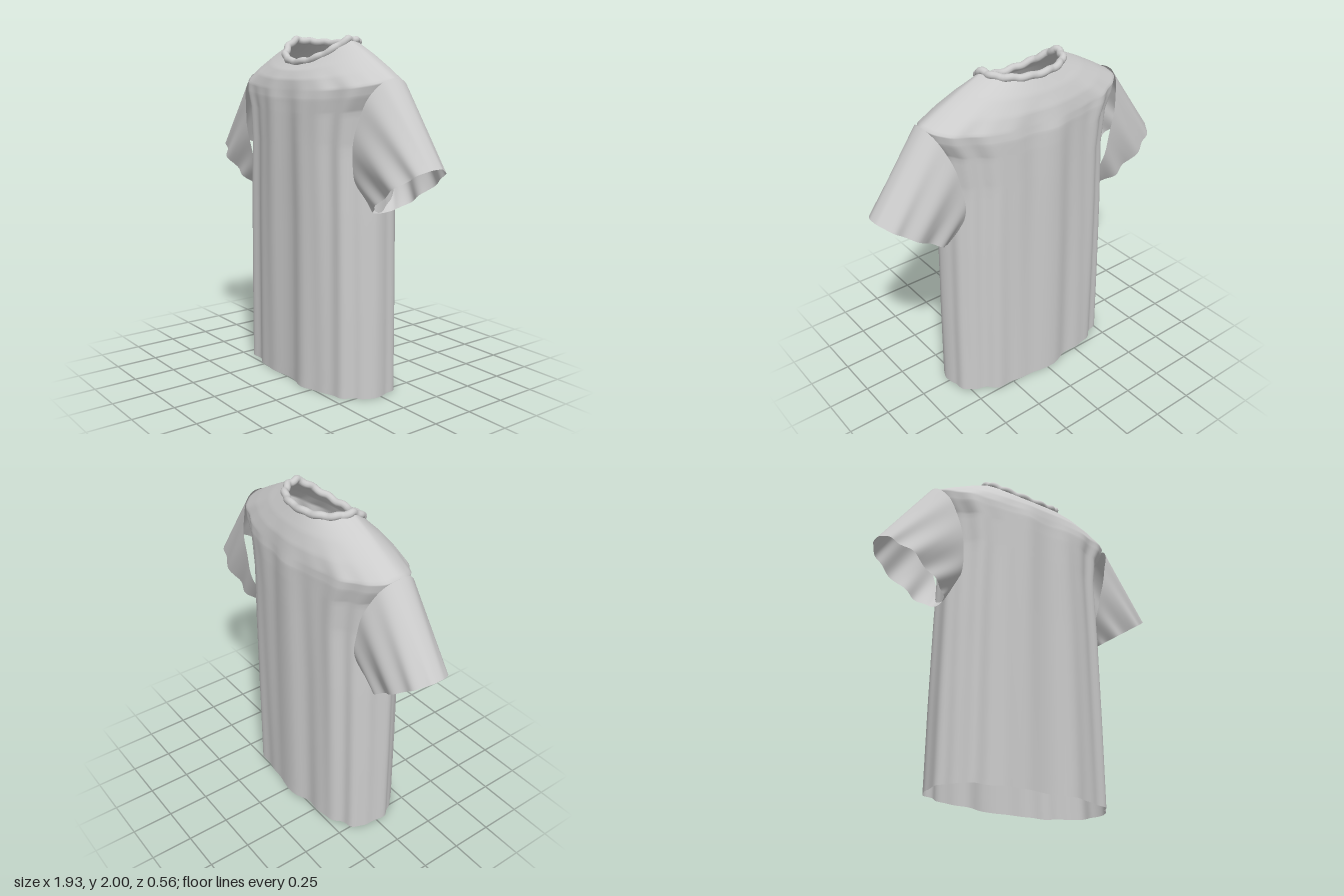
import * as THREE from 'three';

const SEG = 128;
const material = new THREE.MeshStandardMaterial({ color: 0xcccccc, side: THREE.DoubleSide });
const signedPow = (v, p) => Math.sign(v) * Math.abs(v) ** p;
const lerp = THREE.MathUtils.lerp;

// Smooth open tube of cloth: point(t, angle) gives the surface, closed around the angle
function cloth(name, rows, point, flip = false) {
  const pos = [], index = [];
  for (let r = 0; r <= rows; r++) {
    for (let i = 0; i < SEG; i++) pos.push(...point(r / rows, (i / SEG) * Math.PI * 2));
  }
  for (let r = 0; r < rows; r++) {
    for (let i = 0; i < SEG; i++) {
      const a = r * SEG + i, b = r * SEG + (i + 1) % SEG, c = a + SEG, d = b + SEG;
      if (flip) index.push(a, b, c, b, d, c);
      else index.push(a, c, b, b, c, d);
    }
  }
  const geo = new THREE.BufferGeometry();
  geo.setAttribute('position', new THREE.Float32BufferAttribute(pos, 3));
  geo.setIndex(index);
  geo.computeVertexNormals();
  const mesh = new THREE.Mesh(geo, material);
  mesh.name = name;
  return mesh;
}

// Body sections: half width, half depth, roundness, height at side, front and back
const SECTIONS = [
  [0.555, 0.265, 2.5, 0, 0, 0],
  [0.55, 0.265, 2.5, 0.5, 0.5, 0.5],
  [0.54, 0.265, 2.5, 1.0, 1.0, 1.0],
  [0.53, 0.267, 2.4, 1.4, 1.4, 1.4],
  [0.56, 0.267, 2.3, 1.62, 1.57, 1.58],
  [0.62, 0.265, 2.2, 1.71, 1.65, 1.67],
  [0.64, 0.257, 2.2, 1.77, 1.7, 1.72],
  [0.52, 0.245, 2.2, 1.84, 1.755, 1.79],
  [0.39, 0.215, 2.2, 1.91, 1.805, 1.87],
  [0.25, 0.17, 2.1, 1.975, 1.85, 1.955],
];

function section(t) {
  const f = t * (SECTIONS.length - 1);
  const i = Math.min(Math.floor(f), SECTIONS.length - 2);
  return SECTIONS[i].map((v, k) => lerp(v, SECTIONS[i + 1][k], f - i));
}

function bodyPoint(t, a) {
  const [rx, rz, n, ySide, yFront, yBack] = section(t);
  const c = signedPow(Math.cos(a), 2 / n), s = signedPow(Math.sin(a), 2 / n);
  // Hanging folds, stronger at the hem and fading out at the shoulders
  const amount = 0.011 * (1 - 0.35 * t) * THREE.MathUtils.smoothstep(1 - t, 0.1, 0.5);
  const fold = amount * (Math.sin(a * 11 + t * 1.5) + 0.6 * Math.sin(a * 19 + 1 - t) + 0.5 * Math.sin(a * 5 + 2));
  const y = lerp(ySide, s > 0 ? yFront : yBack, Math.abs(s) ** 1.2);
  return [c * (rx + fold * 0.5), y, s * (rz + fold)];
}

// Sleeve runs from a curved armhole to a slanted cuff
function sleevePoint(side, t, a) {
  const c = Math.cos(a), s = signedPow(Math.sin(a), 0.85);
  const k = (1 + signedPow(c, 0.9)) / 2; // 0 at the armpit, 1 at the top
  const inner = 0.05 * (1 - t) * Math.abs(s) ** 2;
  const x = lerp(lerp(0.5, 0.548, t), lerp(0.645, 0.965, t), k) - inner;
  const y = lerp(lerp(1.12, 1.05, t), lerp(1.775, 1.335, t), k);
  const fold = 0.01 * (0.3 + t) * Math.sin(a * 9 + t * 2) + 0.006 * t * Math.sin(a * 5 + 1);
  return [side * x, y, s * (lerp(0.178, 0.146, t) + fold)];
}

export function createModel() {
  const group = new THREE.Group();
  group.name = 'tShirt';

  group.add(cloth('body', 54, bodyPoint));

  for (const [name, side] of [['leftSleeve', 1], ['rightSleeve', -1]]) {
    group.add(cloth(name, 20, (t, a) => sleevePoint(side, t, a), side < 0));
  }

  // Rolled collar with a slightly wavy path along the neckline
  const path = [];
  for (let i = 0; i < 72; i++) {
    const a = (i / 72) * Math.PI * 2;
    const [x, y, z] = bodyPoint(1, a);
    const wave = 1 + 0.022 * Math.sin(a * 14);
    path.push(new THREE.Vector3(x * wave, y + 0.004 * Math.sin(a * 14 + 1), z * wave));
  }
  const curve = new THREE.CatmullRomCurve3(path, true);
  const collar = new THREE.Mesh(new THREE.TubeGeometry(curve, 160, 0.021, 12, true), material);
  collar.name = 'collar';
  group.add(collar);

  return group;
}
